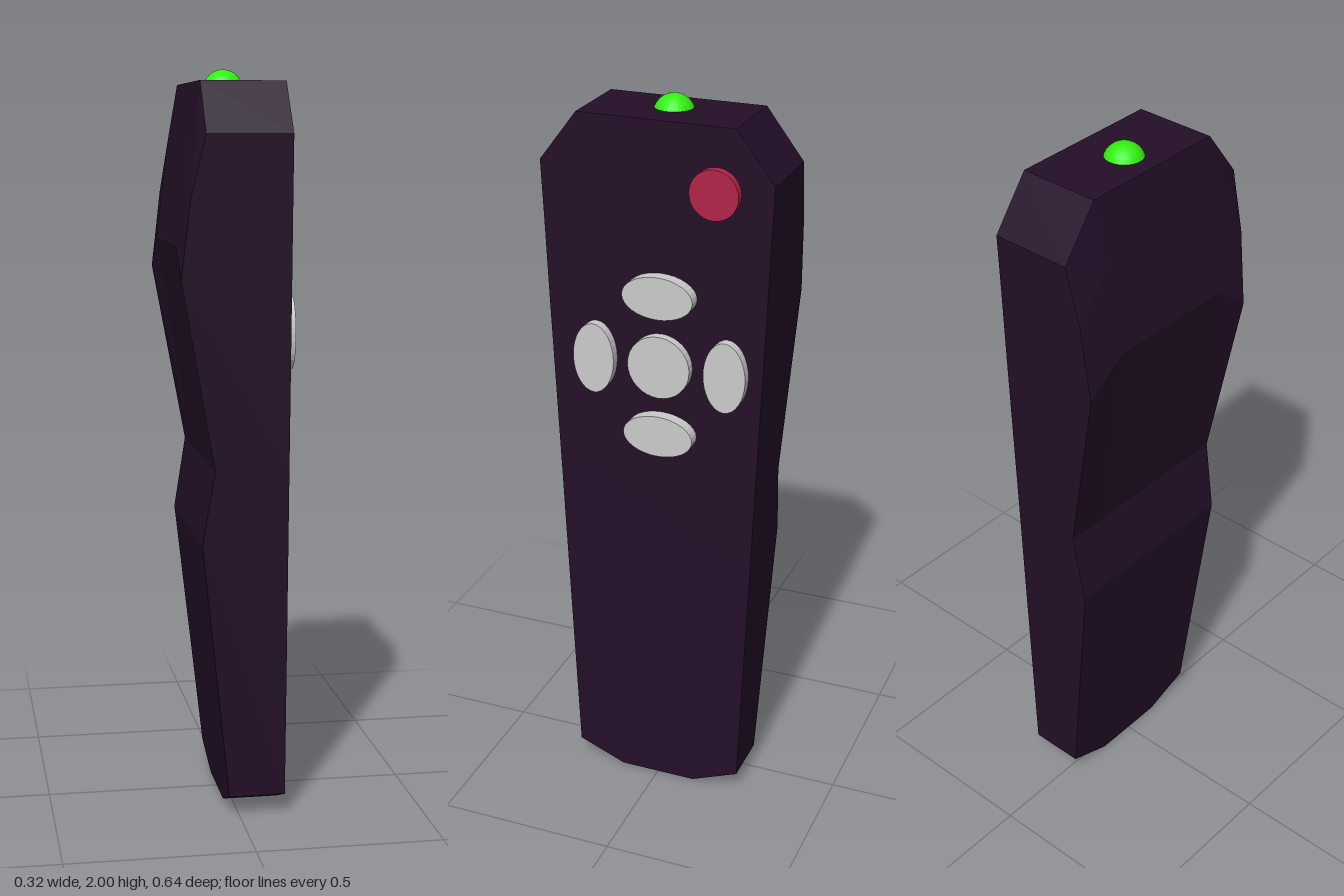
import * as THREE from 'three';

const FACE_X = 0.125; // flat button face

const material = (color, extra = {}) =>
  new THREE.MeshStandardMaterial({ color, flatShading: true, ...extra });

// Each row: [edge y, edge half-width, edge x, inner y, inner half-width, inner x]
const ROWS = [
  [0.055, 0.245, -0.028, 0, 0.11, -0.024],
  [0.76, 0.274, -0.105, 0.76, 0.152, -0.105],
  [0.96, 0.282, -0.072, 0.96, 0.163, -0.072],
  [1.46, 0.303, -0.163, 1.545, 0.193, -0.163],
  [1.67, 0.311, -0.138, 1.79, 0.206, -0.132],
  [1.83, 0.318, -0.1, 1.965, 0.215, -0.1],
];

// Body lofted through closed rings: four points on the back, four on the face
function bodyGeometry() {
  const positions = [];
  const index = [];
  for (const [ey, ew, ex, iy, iw, ix] of ROWS) {
    const back = [[ex, ey, ew], [ix, iy, iw], [ix, iy, -iw], [ex, ey, -ew]];
    const face = back.map(([, y, z]) => [FACE_X, y, z]).reverse();
    positions.push(...back.flat(), ...face.flat());
  }
  const quad = (a, b, c, d) => index.push(a, b, c, a, c, d);
  for (let r = 0; r < ROWS.length - 1; r++) {
    for (let i = 0; i < 8; i++) {
      const j = (i + 1) % 8;
      quad(r * 8 + i, r * 8 + 8 + i, r * 8 + 8 + j, r * 8 + j);
    }
  }
  // Chamfered ends: one strip per pair of columns
  const top = (ROWS.length - 1) * 8;
  for (let c = 0; c < 3; c++) {
    quad(c, c + 1, 6 - c, 7 - c);
    quad(top + 7 - c, top + 6 - c, top + c + 1, top + c);
  }
  const geometry = new THREE.BufferGeometry();
  geometry.setAttribute('position', new THREE.Float32BufferAttribute(positions, 3));
  geometry.setIndex(index);
  const flat = geometry.toNonIndexed();
  flat.computeVertexNormals();
  return flat;
}

export function createModel() {
  const model = new THREE.Group();
  const add = (name, geometry, mat) => {
    const mesh = new THREE.Mesh(geometry, mat);
    mesh.name = name;
    model.add(mesh);
    return mesh;
  };

  add('body', bodyGeometry(), material(0x240f28, { side: THREE.DoubleSide }));

  // Oval buttons: name, y, z, half-height, half-width, outer x, colour
  const grey = 0xcccccc;
  const buttons = [
    ['powerButton', 1.797, -0.165, 0.066, 0.066, 0.148, 0xb32449],
    ['centreButton', 1.31, -0.016, 0.087, 0.087, 0.15, grey],
    ['upButton', 1.507, -0.017, 0.058, 0.098, 0.16, grey],
    ['downButton', 1.115, -0.017, 0.058, 0.098, 0.16, grey],
    ['sideButtonA', 1.31, 0.168, 0.098, 0.058, 0.152, grey],
    ['sideButtonB', 1.31, -0.2, 0.098, 0.058, 0.152, grey],
  ];
  for (const [name, y, z, ry, rz, outer, color] of buttons) {
    const depth = outer - FACE_X + 0.02;
    const geometry = new THREE.CylinderGeometry(1, 1, depth, 32)
      .rotateZ(-Math.PI / 2)
      .scale(1, ry, rz);
    add(name, geometry, material(color)).position.set(outer - depth / 2, y, z);
  }

  // Signal lamp sunk into the top
  add('lamp', new THREE.SphereGeometry(0.055, 32, 16), material(0x33ee11))
    .position.set(-0.006, 1.945, 0);

  return model;
}
